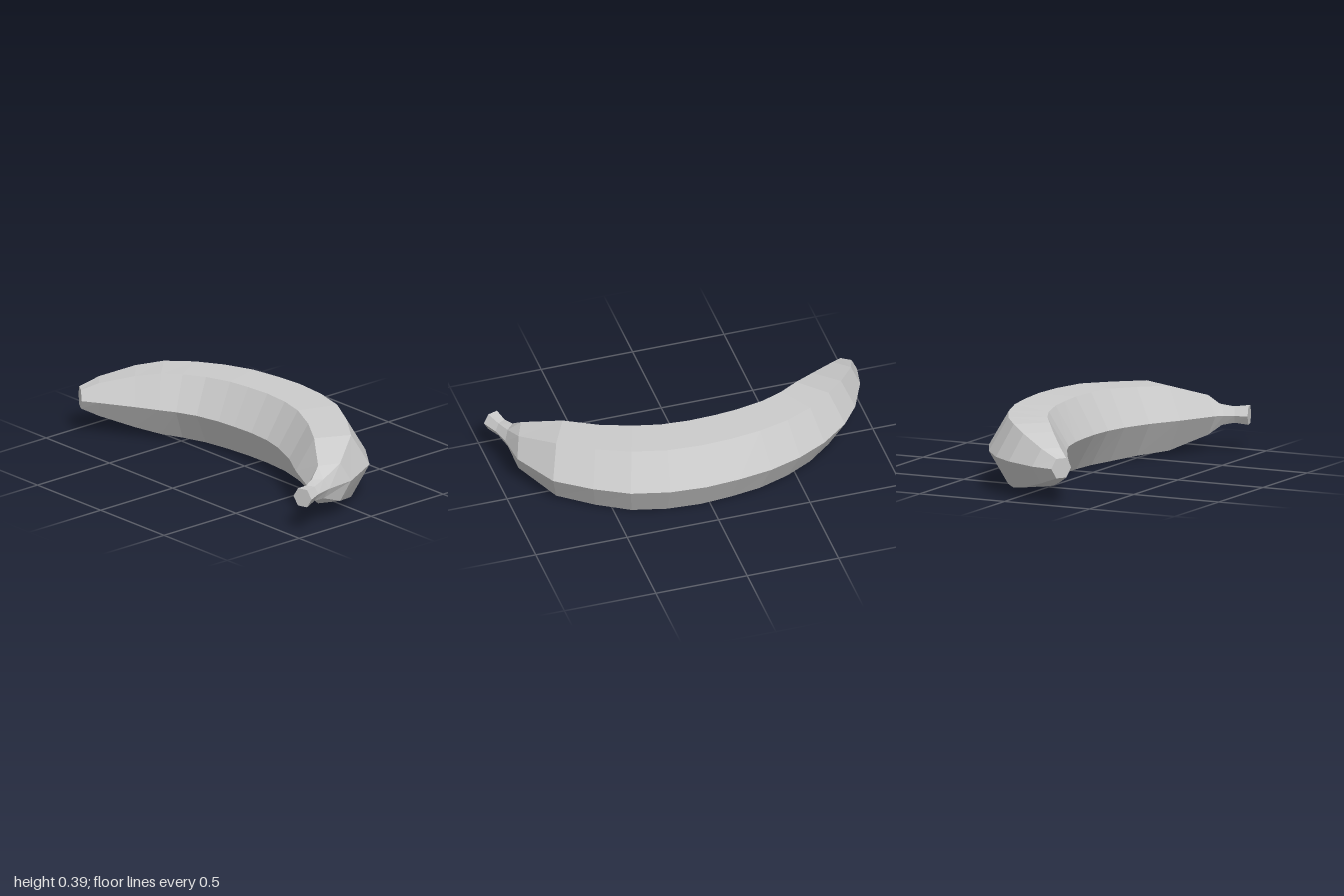
import * as THREE from 'three';

const SIDES = 6;
const MID_Y = 0.198;

// Each cross-section: outer corner x, z and inner corner x, z (seen from above)
const FRUIT = [
  [-1.0, 0.275, -0.9, 0.34],
  [-0.978, 0.15, -0.82, 0.29],
  [-0.895, -0.03, -0.65, 0.19],
  [-0.8, -0.155, -0.53, 0.125],
  [-0.65, -0.275, -0.45, 0.08],
  [-0.49, -0.358, -0.34, 0.035],
  [-0.315, -0.415, -0.2, 0.005],
  [-0.13, -0.443, -0.09, -0.005],
  [0.05, -0.455, 0.04, -0.01],
  [0.245, -0.44, 0.175, 0.0],
  [0.445, -0.39, 0.3, 0.03],
  [0.62, -0.295, 0.46, 0.095],
  [0.8, -0.165, 0.62, 0.19],
  [0.922, 0.07, 0.826, 0.292],
];
const STEM = [
  FRUIT[FRUIT.length - 1],
  [0.937, 0.235, 0.855, 0.325],
  [0.96, 0.33, 0.88, 0.375],
  [0.998, 0.412, 0.892, 0.445],
];

// Regular hexagon spanning the outer and inner corners
function ring([ox, oz, ix, iz]) {
  const cx = (ox + ix) / 2, cz = (oz + iz) / 2;
  const r = Math.hypot(ox - ix, oz - iz) / 2;
  return Array.from({ length: SIDES }, (_, k) => {
    const a = (k / SIDES) * Math.PI * 2;
    return [cx + (ox - cx) * Math.cos(a), MID_Y + r * Math.sin(a), cz + (oz - cz) * Math.cos(a)];
  });
}

// Skin the rings, optionally closing the first or last one
function loft(sections, capStart, capEnd) {
  const rings = sections.map(ring);
  const pos = [];
  const tri = (...pts) => pts.forEach((p) => pos.push(...p));
  for (let i = 0; i < rings.length - 1; i++) {
    for (let k = 0; k < SIDES; k++) {
      const n = (k + 1) % SIDES;
      const a = rings[i][k], b = rings[i][n], c = rings[i + 1][n], d = rings[i + 1][k];
      tri(a, b, d);
      tri(b, c, d);
    }
  }
  const first = rings[0], last = rings[rings.length - 1];
  for (let k = 1; k < SIDES - 1; k++) {
    if (capStart) tri(first[0], first[k + 1], first[k]);
    if (capEnd) tri(last[0], last[k], last[k + 1]);
  }
  const geo = new THREE.BufferGeometry();
  geo.setAttribute('position', new THREE.Float32BufferAttribute(pos, 3));
  geo.computeVertexNormals();
  return geo;
}

export function createModel() {
  const group = new THREE.Group();
  group.name = 'banana';
  const material = new THREE.MeshStandardMaterial({ color: 0xcccccc, flatShading: true });
  const add = (name, geometry) => {
    const mesh = new THREE.Mesh(geometry, material);
    mesh.name = name;
    group.add(mesh);
  };

  // Curved fruit with a blunt closed tip
  add('fruit', loft(FRUIT, true, false));
  // Narrow neck and stalk end
  add('stem', loft(STEM, false, true));

  return group;
}
